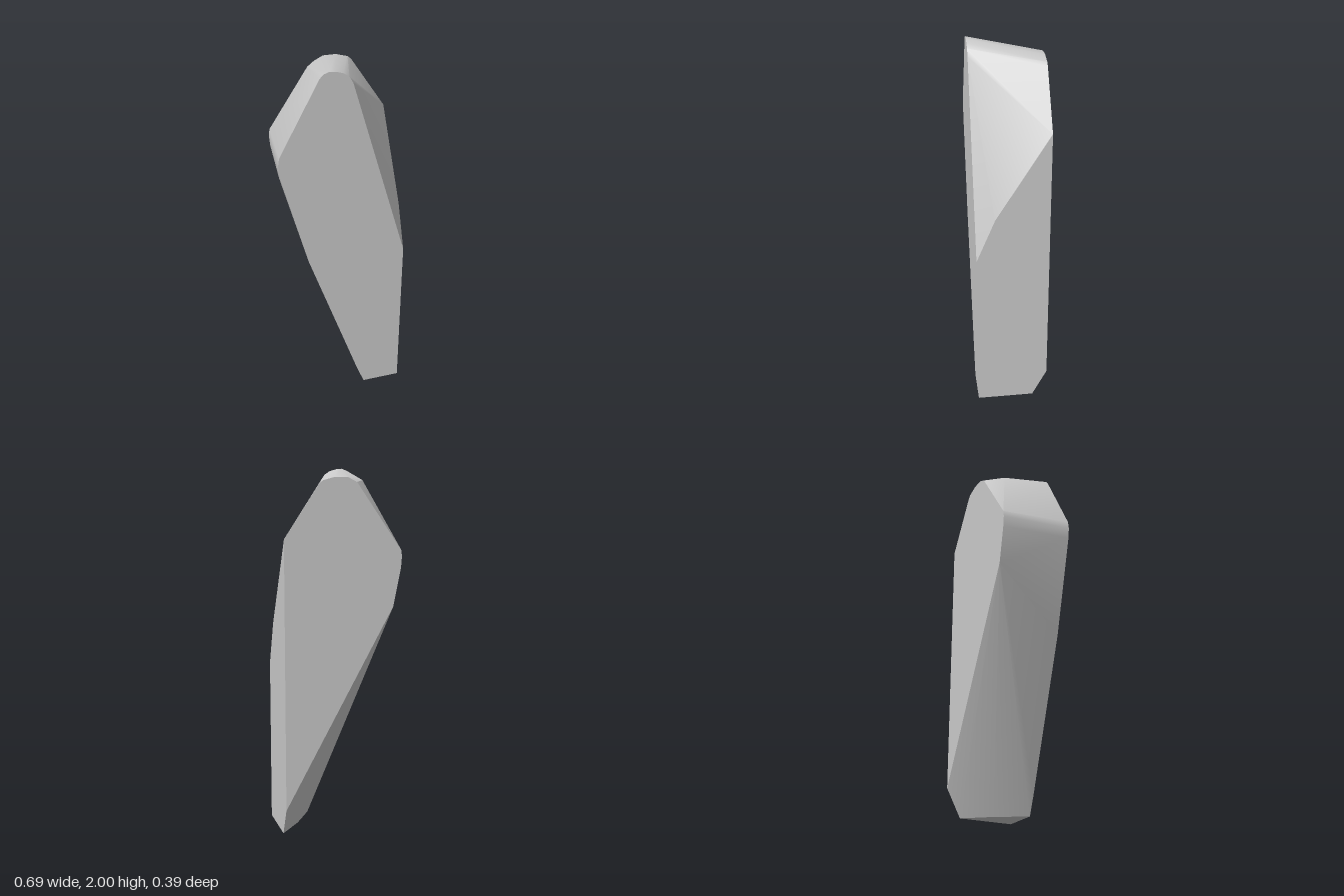
import * as THREE from 'three';
import { ConvexGeometry } from 'three/addons/geometries/ConvexGeometry.js';
import { toCreasedNormals } from 'three/addons/utils/BufferGeometryUtils.js';

const DEPTH = 0.195;

// Flat front outline (x, y)
const front = [
  [0.13, 0], [0.345, 0], [0.345, 0.91], [0.04, 1.93], [0.02, 1.965], [-0.01, 1.985],
  [-0.05, 1.997], [-0.08, 2], [-0.11, 1.99], [-0.13, 1.97], [-0.343, 1.575],
  [-0.35, 1.53], [-0.343, 1.47], [-0.2, 0.93], [0.09, 0.1],
];

// Flat back outline (x, y)
const back = [
  [0.345, 0.155], [0.345, 1.615], [0.155, 1.9], [0.135, 1.917], [0.07, 1.935],
  [0, 1.935], [-0.05, 1.91], [-0.3, 1.555], [-0.305, 1.52], [-0.3, 1.46], [-0.258, 1.25],
];

// Corners between the two faces (x, y, z)
const between = [
  [0.345, 1.15, 0.095], // bend in the upper chamfer
  [0.345, 0, -0.115], // rear tip of the foot
  [0.228, 0, 0.03], // slight bulge of the foot
  [-0.113, 1.925, -0.09], // facet on the left shoulder
];

export function createModel() {
  const group = new THREE.Group();
  group.name = 'stoneShard';
  const points = [
    ...front.map(([x, y]) => new THREE.Vector3(x, y, DEPTH)),
    ...back.map(([x, y]) => new THREE.Vector3(x, y, -DEPTH)),
    ...between.map((p) => new THREE.Vector3(...p)),
  ];
  // Convex faceted body with soft shading over the shallow facets
  const geometry = toCreasedNormals(new ConvexGeometry(points), THREE.MathUtils.degToRad(25));
  const body = new THREE.Mesh(geometry, new THREE.MeshStandardMaterial({ color: 0xcccccc }));
  body.name = 'shardBody';
  group.add(body);
  return group;
}
